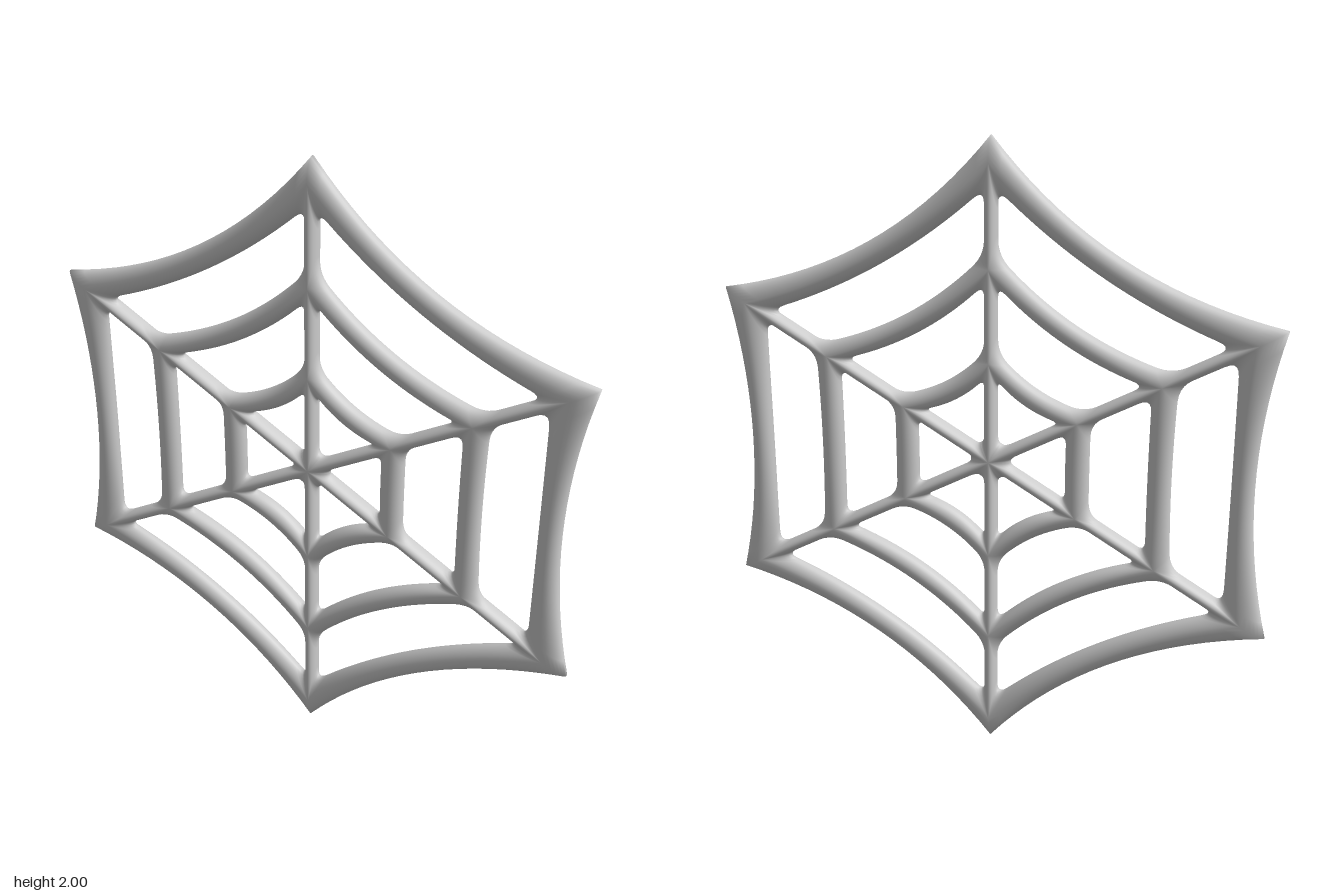
import * as THREE from 'three';
import { mergeVertices } from 'three/addons/utils/BufferGeometryUtils.js';

const HALF = 0.032;      // half thickness of the strands
const SPOKE = 0.02;      // half width of a spoke
const N = 18, FIL = 5, ARC = 7;
const ANGLES = [-29, 29, 90, 151, 209, 270].map(a => a * Math.PI / 180);

// Radii from the centre outwards. At the spokes:
const HOLE_IN = [0.06, 0.35, 0.65], HOLE_OUT = [0.265, 0.56, 0.845];
const RIDGE = [0, 0.32, 0.61, 0.925];
const FILLET = [0.035, 0.045, 0.05];
// and halfway between them, for the upright sides and the slanted sides:
const UPRIGHT = { holeIn: [0.065, 0.315, 0.57], holeOut: [0.24, 0.497, 0.75], rim: 0.82 };
const SLANTED = { holeIn: [0.065, 0.285, 0.525], holeOut: [0.22, 0.458, 0.695], rim: 0.772 };

const polar = (r, a) => new THREE.Vector2(r * Math.cos(a), r * Math.sin(a));

// Curve from a to b whose middle passes through m
function arcThrough(a, b, m) {
  const c = m.clone().multiplyScalar(2).sub(a.clone().add(b).multiplyScalar(0.5));
  return new THREE.QuadraticBezierCurve(a, c, b);
}

// Closed counter-clockwise loop of four curves with rounded corners
function roundedLoop(sides, fillet) {
  const cut = sides.map(s => Math.min(0.42, fillet / Math.max(s.getLength(), 1e-6)));
  const pts = [];
  sides.forEach((s, i) => {
    const f = cut[i], j = (i + 1) % 4, next = sides[j];
    for (let k = 0; k <= N; k++) pts.push(s.getPoint(f + (1 - 2 * f) * k / N));
    const round = new THREE.QuadraticBezierCurve(s.getPoint(1 - f), s.getPoint(1), next.getPoint(cut[j]));
    for (let k = 1; k < FIL; k++) pts.push(round.getPoint(k / FIL));
  });
  pts.push(pts[0].clone());
  return pts;
}

// Quarter-round surface from an edge line up to a ridge line, front and back
function addRound(out, edge, ridge, flip) {
  const at = (i, k, side) => {
    const t = k / ARC * Math.PI / 2;
    const p = edge[i].clone().lerp(ridge[i], 1 - Math.cos(t));
    return [p.x, p.y + 1, side * HALF * Math.sin(t)];
  };
  for (const side of [1, -1]) for (let i = 0; i < edge.length - 1; i++) for (let k = 0; k < ARC; k++) {
    const a = at(i, k, side), b = at(i, k + 1, side), c = at(i + 1, k + 1, side), d = at(i + 1, k, side);
    if (flip === (side > 0)) out.push(...a, ...c, ...b, ...a, ...d, ...c);
    else out.push(...a, ...b, ...c, ...a, ...c, ...d);
  }
}

export function createModel() {
  const pos = [];
  ANGLES.forEach((a, s) => {
    const b = s < 5 ? ANGLES[s + 1] : ANGLES[0] + 2 * Math.PI;
    const mid = (a + b) / 2;
    const m = s % 3 === 0 ? UPRIGHT : SLANTED;
    const ridgeMid = [0, (m.holeOut[0] + m.holeIn[1]) / 2, (m.holeOut[1] + m.holeIn[2]) / 2, (m.holeOut[2] + m.rim) / 2];
    // Four sides of a cell: out along a spoke, across, back, across
    const cell = (rIn, rOut, mIn, mOut, inset) => {
      const pa = r => polar(r, a).add(polar(inset, a + Math.PI / 2));
      const pb = r => polar(r, b).add(polar(inset, b - Math.PI / 2));
      return [
        new THREE.LineCurve(pa(rIn), pa(rOut)),
        arcThrough(pa(rOut), pb(rOut), polar(mOut, mid)),
        new THREE.LineCurve(pb(rOut), pb(rIn)),
        arcThrough(pb(rIn), pa(rIn), polar(mIn, mid)),
      ];
    };
    // Strands around each of the three openings of this sector
    for (let i = 0; i < 3; i++) {
      const hole = cell(HOLE_IN[i], HOLE_OUT[i], m.holeIn[i], m.holeOut[i], SPOKE);
      const frame = cell(RIDGE[i], RIDGE[i + 1], ridgeMid[i], ridgeMid[i + 1], 0);
      addRound(pos, roundedLoop(hole, FILLET[i]), roundedLoop(frame, 0), false);
    }
    // Outer rim with its pointed corners
    const tip = t => polar(Math.abs(Math.cos(t)) > 0.1 ? 1.01 : 1, t);
    const rim = arcThrough(tip(a), tip(b), polar(m.rim, mid));
    const ridge = arcThrough(polar(RIDGE[3], a), polar(RIDGE[3], b), polar(ridgeMid[3], mid));
    addRound(pos, rim.getPoints(N), ridge.getPoints(N), true);
  });

  let geo = new THREE.BufferGeometry();
  geo.setAttribute('position', new THREE.Float32BufferAttribute(pos, 3));
  geo = mergeVertices(geo, 1e-4);
  geo.computeVertexNormals();

  const web = new THREE.Mesh(geo, new THREE.MeshStandardMaterial({ color: 0xcccccc }));
  web.name = 'web';
  const group = new THREE.Group();
  group.name = 'spiderWeb';
  group.add(web);
  return group;
}
